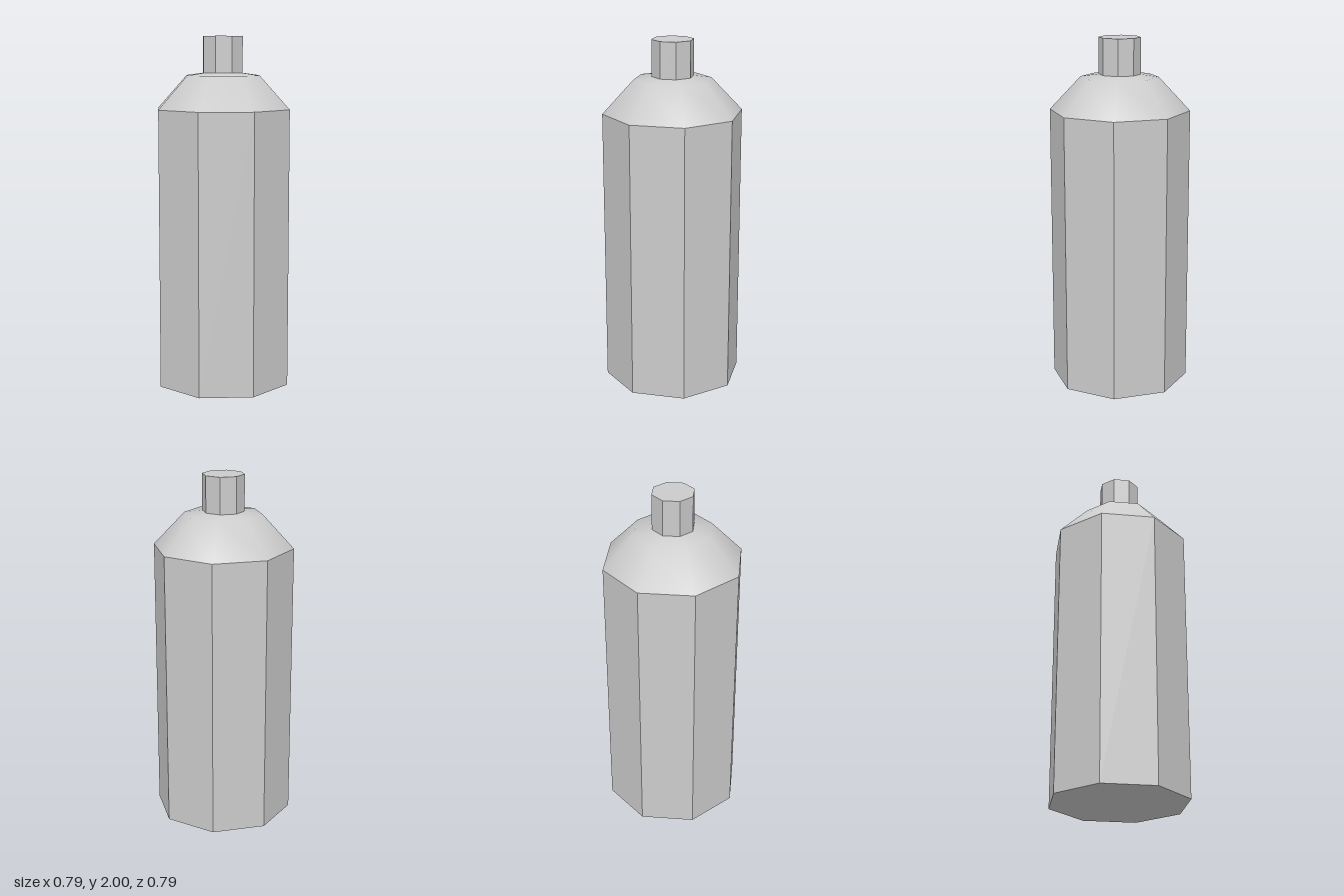
import * as THREE from 'three';

const SIDES = 8;

export function createModel() {
  const group = new THREE.Group();
  const flat = new THREE.MeshStandardMaterial({ color: 0xcccccc, flatShading: true });
  const smooth = new THREE.MeshStandardMaterial({ color: 0xcccccc });

  const add = (name, geometry, material, y = 0) => {
    const mesh = new THREE.Mesh(geometry, material);
    mesh.name = name;
    mesh.position.y = y;
    group.add(mesh);
  };

  // Faceted octagonal prism standing on the ground
  const prism = (name, radius, bottom, top) =>
    add(name, new THREE.CylinderGeometry(radius, radius, top - bottom, SIDES), flat, (bottom + top) / 2);

  prism('body', 0.397, 0, 1.592);
  prism('nozzle', 0.119, 1.795, 2);

  // Smooth-shaded shoulder: steep cone, then a shallow crown closing under the nozzle
  const profile = [[0.397, 1.592], [0.22, 1.78], [0, 1.81]].map(([r, y]) => new THREE.Vector2(r, y));
  add('shoulder', new THREE.LatheGeometry(profile, SIDES), smooth);

  return group;
}
